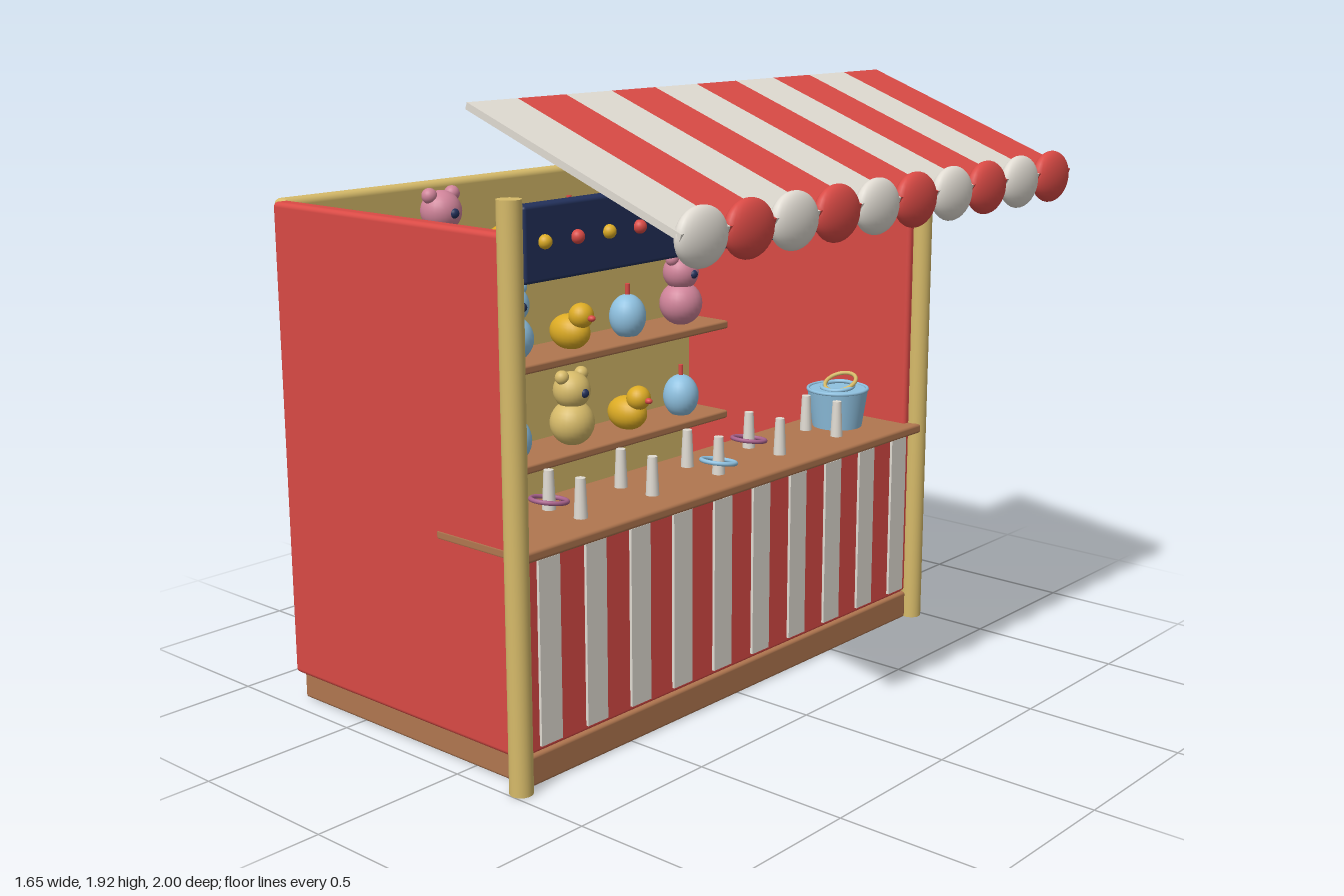
import * as THREE from 'three';
import { RoundedBoxGeometry } from 'three/addons/geometries/RoundedBoxGeometry.js';

const mat = (name, color) => {
  const m = new THREE.MeshStandardMaterial({ color });
  m.name = name;
  return m;
};

export function createModel() {
  const red = mat('red', 0xd94a45), cream = mat('cream', 0xe0dbd2), tan = mat('tan', 0xd6ba69),
    brown = mat('brown', 0xb0764f), navy = mat('navy', 0x22305a), blue = mat('sky blue', 0x8fc1e0),
    pink = mat('pink', 0xd0849a), yellow = mat('yellow', 0xdcab24), salmon = mat('salmon', 0xd09474),
    purple = mat('purple', 0xa8628c);

  const model = new THREE.Group();
  model.name = 'fairgroundStall';

  const add = (parent, name, geo, material, x, y, z) => {
    const m = new THREE.Mesh(geo, material);
    m.name = name;
    m.position.set(x, y, z);
    parent.add(m);
    return m;
  };
  const group = (name, x = 0, y = 0, z = 0) => {
    const g = new THREE.Group();
    g.name = name;
    g.position.set(x, y, z);
    model.add(g);
    return g;
  };
  // Box given by its limits on each axis, with softened edges
  const slab = (parent, name, material, [x0, x1], [y0, y1], [z0, z1], r = 0.01) =>
    add(parent, name, new RoundedBoxGeometry(x1 - x0, y1 - y0, z1 - z0, 3, r), material,
      (x0 + x1) / 2, (y0 + y1) / 2, (z0 + z1) / 2);
  const unitSphere = new THREE.SphereGeometry(1, 24, 16);
  const ball = (parent, name, material, x, y, z, rx, ry = rx, rz = rx) => {
    const m = add(parent, name, unitSphere, material, x, y, z);
    m.scale.set(rx, ry, rz);
    return m;
  };

  // Floor, walls and posts
  slab(model, 'base', brown, [-0.79, 0.23], [0, 0.095], [-0.93, 0.93]);
  slab(model, 'backWall', tan, [-0.83, -0.77], [0.1, 1.59], [-0.935, 0.935], 0.02);
  for (const s of [-1, 1]) {
    slab(model, 'sideWall', red, [-0.79, 0.22], [0.095, 1.585], s < 0 ? [-0.965, -0.908] : [0.908, 0.965], 0.015);
    add(model, 'post', new THREE.CylinderGeometry(0.035, 0.035, 1.68, 24), tan, 0.23, 0.84, s * 0.965);
  }

  // Counter with striped front
  slab(model, 'counterFront', red, [0.185, 0.222], [0.095, 0.68], [-0.925, 0.925]);
  slab(model, 'counterTop', brown, [-0.1, 0.26], [0.678, 0.712], [-0.966, 0.966]);
  for (let i = 0; i < 10; i++)
    add(model, 'frontStripe', new THREE.BoxGeometry(0.009, 0.555, 0.084), cream, 0.2265, 0.39, 0.84 - i * 0.1893);

  // Sign board with a row of bulbs
  slab(model, 'signBoard', navy, [0.205, 0.26], [1.45, 1.66], [-0.94, 0.94]);
  for (let i = 0; i < 15; i++)
    ball(model, 'bulb', i % 2 ? red : yellow, 0.266, 1.56, -0.87 + i * 0.1243, 0.02);

  // Striped awning, each strip ending in a rounded scallop
  const low = [0.8, 1.63], high = [0.043, 1.91];
  const dx = low[0] - high[0], dy = low[1] - high[1], pitch = 0.1872;
  for (let i = 0; i < 10; i++) {
    const z = pitch * (4.5 - i), m = i % 2 ? red : cream;
    const strip = add(model, 'awningStrip', new THREE.BoxGeometry(Math.hypot(dx, dy), 0.02, pitch), m,
      (low[0] + high[0]) / 2, (low[1] + high[1]) / 2, z);
    strip.rotation.z = Math.atan2(dy, dx);
    ball(model, 'awningScallop', m, 0.787, 1.622, z, 0.037, 0.08, 0.096);
  }

  // Prizes, built with their feet at y = 0 and facing +x
  const duck = (x, y, z) => {
    const g = group('duck', x, y, z);
    ball(g, 'duckBody', yellow, -0.005, 0.056, 0, 0.08, 0.062, 0.06);
    ball(g, 'duckHead', yellow, 0.05, 0.118, 0, 0.044);
    ball(g, 'duckBeak', red, 0.098, 0.114, 0, 0.016, 0.011, 0.013);
  };
  const bear = (x, y, z, m) => {
    const g = group('bear', x, y, z);
    ball(g, 'bearBody', m, 0, 0.075, 0, 0.078, 0.08, 0.08);
    ball(g, 'bearHead', m, 0, 0.19, 0, 0.066);
    ball(g, 'bearNose', navy, 0.062, 0.188, 0, 0.014, 0.016, 0.016);
    for (const s of [-1, 1]) ball(g, 'bearEar', m, 0, 0.242, s * 0.047, 0.025);
  };
  const balloon = (x, y, z) => {
    const g = group('roundToy', x, y, z);
    ball(g, 'toyBody', blue, 0, 0.068, 0, 0.066, 0.08, 0.066);
    add(g, 'toyStem', new THREE.CylinderGeometry(0.009, 0.009, 0.05, 12), red, 0, 0.16, 0);
  };

  // Three shelves of prizes, the order shifting by one on each row
  const bearColours = [[pink, salmon], [blue, pink], [salmon, tan]];
  [1.325, 0.985, 0.645].forEach((top, row) => {
    slab(model, 'shelf', brown, [-0.775, -0.545], [top - 0.03, top], [-0.87, 0.87], 0.008);
    for (let i = 0; i < 6; i++) {
      const z = 0.715 - i * 0.286, kind = (i - row + 3) % 3;
      if (kind === 0) balloon(-0.643, top, z);
      else if (kind === 1) bear(-0.643, top, z, bearColours[row][i < 3 ? 0 : 1]);
      else duck(-0.643, top, z);
    }
  });

  // Ring-toss pegs in two rows
  for (const x of [0.01, 0.14])
    for (let i = -2; i <= 2; i++)
      add(model, 'peg', new THREE.CylinderGeometry(0.015, 0.021, 0.125, 16), cream, x, 0.77, i * 0.31);

  // Tossed rings
  const ring = (m, x, y, z, tilt, r = 0.055) => {
    const t = add(model, 'ring', new THREE.TorusGeometry(r, 0.007, 10, 32), m, x, y, z);
    t.rotation.x = Math.PI / 2 + tilt;
  };
  ring(purple, 0.01, 0.74, 0.62, -0.15);
  ring(purple, 0.01, 0.74, -0.31, -0.15);
  ring(blue, 0.14, 0.752, 0, -0.17);

  // Bucket of spare rings
  add(model, 'bucket', new THREE.CylinderGeometry(0.105, 0.085, 0.13, 32), blue, 0.05, 0.777, -0.745);
  const rim = add(model, 'bucketRim', new THREE.TorusGeometry(0.102, 0.006, 8, 40), blue, 0.05, 0.842, -0.745);
  rim.rotation.x = Math.PI / 2;
  ring(tan, 0.05, 0.862, -0.76, 0.42);
  ring(blue, 0.05, 0.85, -0.745, 0.1);

  return model;
}
